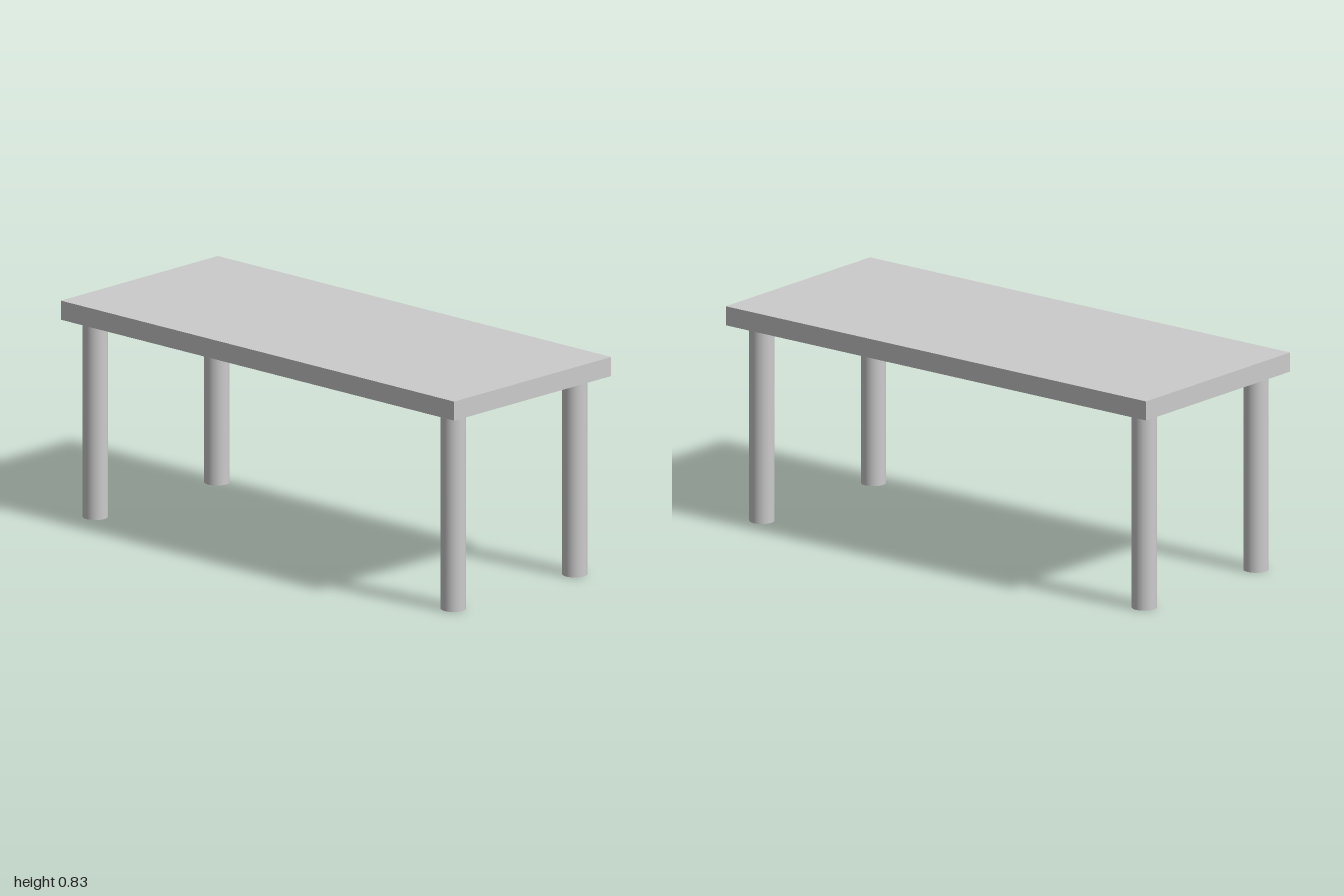
import * as THREE from 'three';

export function createModel() {
  const group = new THREE.Group();
  group.name = 'table';
  const material = new THREE.MeshStandardMaterial({ color: 0xcccccc });

  const legHeight = 0.755;
  const topThickness = 0.073;

  // Flat rectangular slab
  const top = new THREE.Mesh(new THREE.BoxGeometry(2, topThickness, 0.84), material);
  top.name = 'tableTop';
  top.position.y = legHeight + topThickness / 2;
  group.add(top);

  // Four round legs, the front pair set slightly closer to the edge
  const legGeometry = new THREE.CylinderGeometry(0.0465, 0.0465, legHeight, 48);
  for (const [end, z] of [['front', 0.33], ['back', -0.32]]) {
    for (const [side, x] of [['Left', 0.91], ['Right', -0.91]]) {
      const leg = new THREE.Mesh(legGeometry, material);
      leg.name = `${end}${side}Leg`;
      leg.position.set(x, legHeight / 2, z);
      group.add(leg);
    }
  }

  return group;
}
